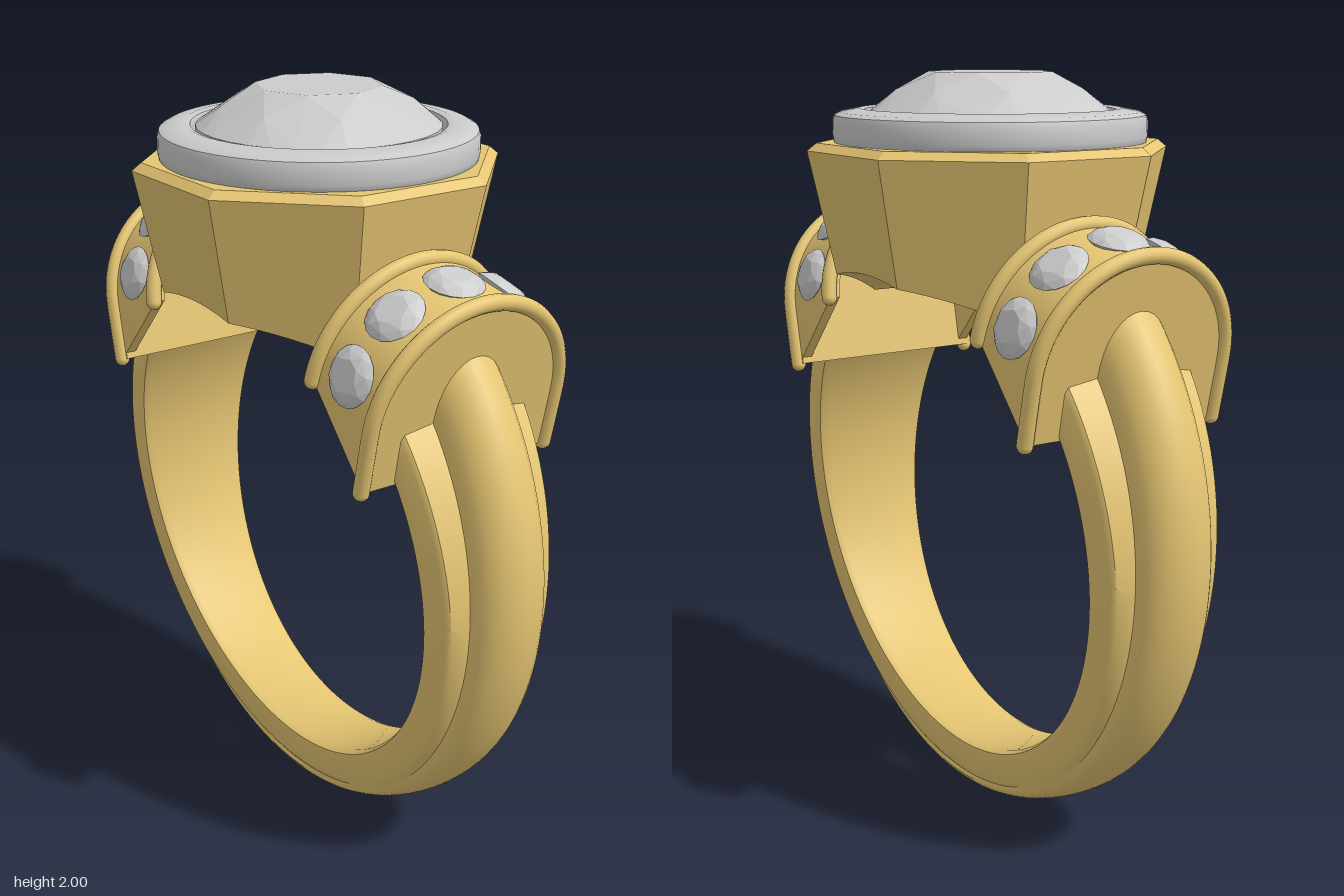
import * as THREE from 'three';
import { toCreasedNormals } from 'three/addons/utils/BufferGeometryUtils.js';
import { ConvexGeometry } from 'three/addons/geometries/ConvexGeometry.js';

const gold = new THREE.MeshStandardMaterial({ color: 0xe6c673 });
const grey = new THREE.MeshStandardMaterial({ color: 0xcccccc });
const facet = new THREE.MeshStandardMaterial({ color: 0xcccccc, flatShading: true });
const V = (x, y, z) => new THREE.Vector3(x, y, z);
const DEG = Math.PI / 180;

// Finger hole
const HOLE_Y = 0.82, HOLE_R = 0.675;

function add(parent, name, geometry, material) {
  const mesh = new THREE.Mesh(geometry, material);
  mesh.name = name;
  parent.add(mesh);
  return mesh;
}

// Skin over a row of closed cross-sections
function loft(sections, crease, wrap = false) {
  const n = sections[0].length, rows = sections.length, index = [];
  for (let i = 0; i < (wrap ? rows : rows - 1); i++) {
    for (let j = 0; j < n; j++) {
      const i2 = (i + 1) % rows, j2 = (j + 1) % n;
      const a = i * n + j, b = i2 * n + j, c = i2 * n + j2, d = i * n + j2;
      index.push(a, b, c, a, c, d);
    }
  }
  const g = new THREE.BufferGeometry().setFromPoints(sections.flat());
  g.setIndex(index);
  return toCreasedNormals(g, crease);
}

// Cut stone from rings of [radius, y, count, half-step twist]
function cutStone(rings) {
  const pts = [];
  for (const [r, y, n, twist] of rings) {
    for (let i = 0; i < n; i++) {
      const a = ((i + twist) / n) * Math.PI * 2;
      pts.push(V(Math.sin(a) * r, y, Math.cos(a) * r));
    }
  }
  return new ConvexGeometry(pts);
}

// Tapering band: flat shoulders with a rounded crest, ends cut on the collar planes
function shankGeometry() {
  const sections = [], steps = 96;
  for (let i = 0; i <= steps; i++) {
    const t = (i / steps) * 2 - 1;
    const mid = -90 * DEG + t * 127 * DEG;
    const s = Math.sin(mid), c = Math.cos(mid);
    const crest = 0.06 * s + Math.sqrt(0.88 ** 2 - (0.06 * c) ** 2);
    const w = 0.107 + 0.072 * Math.max(0, HOLE_Y + 0.76 * s);
    const shoulder = 0.775, base = shoulder + 0.01;
    const profile = [[HOLE_R + 0.008, -w + 0.003], [shoulder - 0.012, -w + 0.003], [shoulder, -w + 0.012]];
    for (let k = 0; k <= 16; k++) {
      const a = (k / 16) * Math.PI;
      profile.push([base + (crest - base) * Math.sin(a), -0.104 * Math.cos(a)]);
    }
    profile.push([shoulder, w - 0.012], [shoulder - 0.012, w - 0.003], [HOLE_R + 0.008, w - 0.003]);
    profile.push([HOLE_R, w - 0.02], [HOLE_R, -w + 0.02]);
    sections.push(profile.map(([r, z]) => {
      const end = 31.5 + ((r - HOLE_R) / 0.225) * 13;
      const phi = (-90 + t * (90 + end)) * DEG;
      return V(r * Math.cos(phi), HOLE_Y + r * Math.sin(phi), z);
    }));
  }
  return loft(sections, 40 * DEG);
}

// Hollow octagonal bezel, its underside following the finger hole
function bezelGeometry() {
  const corner = (k) => {
    const a = (k + 0.5) * 45 * DEG, r = 1 / Math.cos(22.5 * DEG);
    return V(Math.sin(a) * r, 0, Math.cos(a) * r);
  };
  const underside = (u, apothem) => {
    let y = 1.45;
    for (let i = 0; i < 6; i++) y = HOLE_Y + Math.sqrt(HOLE_R ** 2 - (u.x * apothem(y)) ** 2);
    return V(u.x * apothem(y), y, u.z * apothem(y));
  };
  const outer = (y) => 0.448 - 0.2 * (1.8 - y);
  const inner = (y) => 0.325;
  const sections = [];
  for (let k = 0; k < 8; k++) {
    for (let m = 0; m < 8; m++) {
      const u = corner(k).lerp(corner(k + 1), m / 8);
      sections.push([
        underside(u, outer), V(u.x * 0.448, 1.8, u.z * 0.448),
        V(u.x * 0.425, 1.82, u.z * 0.425), V(u.x * 0.325, 1.82, u.z * 0.325), underside(u, inner),
      ]);
    }
  }
  return loft(sections, 15 * DEG, true);
}

// Horseshoe outline in the local plane at x; the legs lengthen outward
function arch(x, r) {
  const foot = -0.075 - x * 0.72;
  const pts = [V(x, foot, r)];
  for (let i = 0; i <= 32; i++) {
    const a = (i / 32) * Math.PI;
    const y = Math.sin(a) * r;
    pts.push(V(x, Math.max(y, foot), Math.cos(a) * r));
  }
  pts.push(V(x, foot, -r));
  return pts;
}

// Stone-set collar on the model's left side
function createCollar() {
  const side = new THREE.Group();
  const collar = new THREE.Group();
  collar.position.set(0.5, 1.335, 0);
  collar.rotation.z = -0.21;
  side.add(collar);
  const H = 0.122, R = 0.285;

  // Arched wall with closed feet
  const lines = [arch(H, R), arch(-H, R), arch(-H, R - 0.03), arch(H, R - 0.03)];
  const sections = lines[0].map((_, i) => lines.map((l) => l[i]));
  const closeFoot = (s) => {
    const mid = s.reduce((p, q) => p.add(q), V(0, 0, 0)).divideScalar(4);
    return s.map(() => mid.clone());
  };
  sections.unshift(closeFoot(sections[0]));
  sections.push(closeFoot(sections[sections.length - 1]));
  add(collar, 'collarWall', loft(sections, 35 * DEG), gold);

  // End plate facing the shank
  const outline = arch(H, R).map((p) => new THREE.Vector2(-p.z, p.y));
  const plate = new THREE.ExtrudeGeometry(new THREE.Shape(outline), { depth: 0.03, bevelEnabled: false });
  plate.rotateY(Math.PI / 2).translate(H - 0.025, 0, 0);
  add(collar, 'collarPlate', toCreasedNormals(plate, 35 * DEG), gold);

  // Round wire rims with rounded ends
  for (const x of [-H, H]) {
    const pts = arch(x, R + 0.003);
    const path = new THREE.CatmullRomCurve3(pts.filter((p, i) => i === 0 || p.distanceTo(pts[i - 1]) > 0.005));
    add(collar, 'collarRim', new THREE.TubeGeometry(path, 72, 0.021, 12), gold);
    for (const p of [pts[0], pts[pts.length - 1]]) {
      add(collar, 'rimEnd', new THREE.SphereGeometry(0.021, 12, 8), gold).position.copy(p);
    }
  }

  // Five stones fanned over the arch
  const stone = cutStone([[0.042, 0.024, 8, 0], [0.064, 0.014, 8, 0.5], [0.077, 0, 16, 0], [0.012, -0.06, 8, 0]]);
  for (let i = -2; i <= 2; i++) {
    const a = i * 36 * DEG;
    const mesh = add(collar, 'sideStone', stone, facet);
    mesh.position.set(0, Math.cos(a) * R, Math.sin(a) * R);
    mesh.rotation.x = a;
  }
  return side;
}

export function createModel() {
  const ring = new THREE.Group();
  ring.name = 'ring';
  add(ring, 'shank', shankGeometry(), gold);
  add(ring, 'bezel', bezelGeometry(), gold);

  // Collars on both shoulders
  for (const [name, turn] of [['leftCollar', 0], ['rightCollar', Math.PI]]) {
    const collar = createCollar();
    collar.name = name;
    collar.rotation.y = turn;
    ring.add(collar);
  }

  // Round setting with softened edges
  const profile = [
    [0.32, 1.805], [0.4, 1.805], [0.412, 1.82], [0.415, 1.835], [0.415, 1.875], [0.41, 1.89],
    [0.395, 1.898], [0.345, 1.907], [0.33, 1.903], [0.325, 1.89], [0.32, 1.805],
  ].map(([r, y]) => new THREE.Vector2(r, y));
  add(ring, 'stoneSetting', toCreasedNormals(new THREE.LatheGeometry(profile, 64), 40 * DEG), grey);

  // Main stone: table, crown, girdle and pavilion
  const stone = cutStone([
    [0.165, 2, 8, 0], [0.25, 1.955, 8, 0.5], [0.317, 1.9, 32, 0], [0.317, 1.88, 32, 0],
    [0.2, 1.77, 8, 0.5], [0.02, 1.7, 8, 0],
  ]);
  add(ring, 'mainStone', stone, facet);
  return ring;
}
